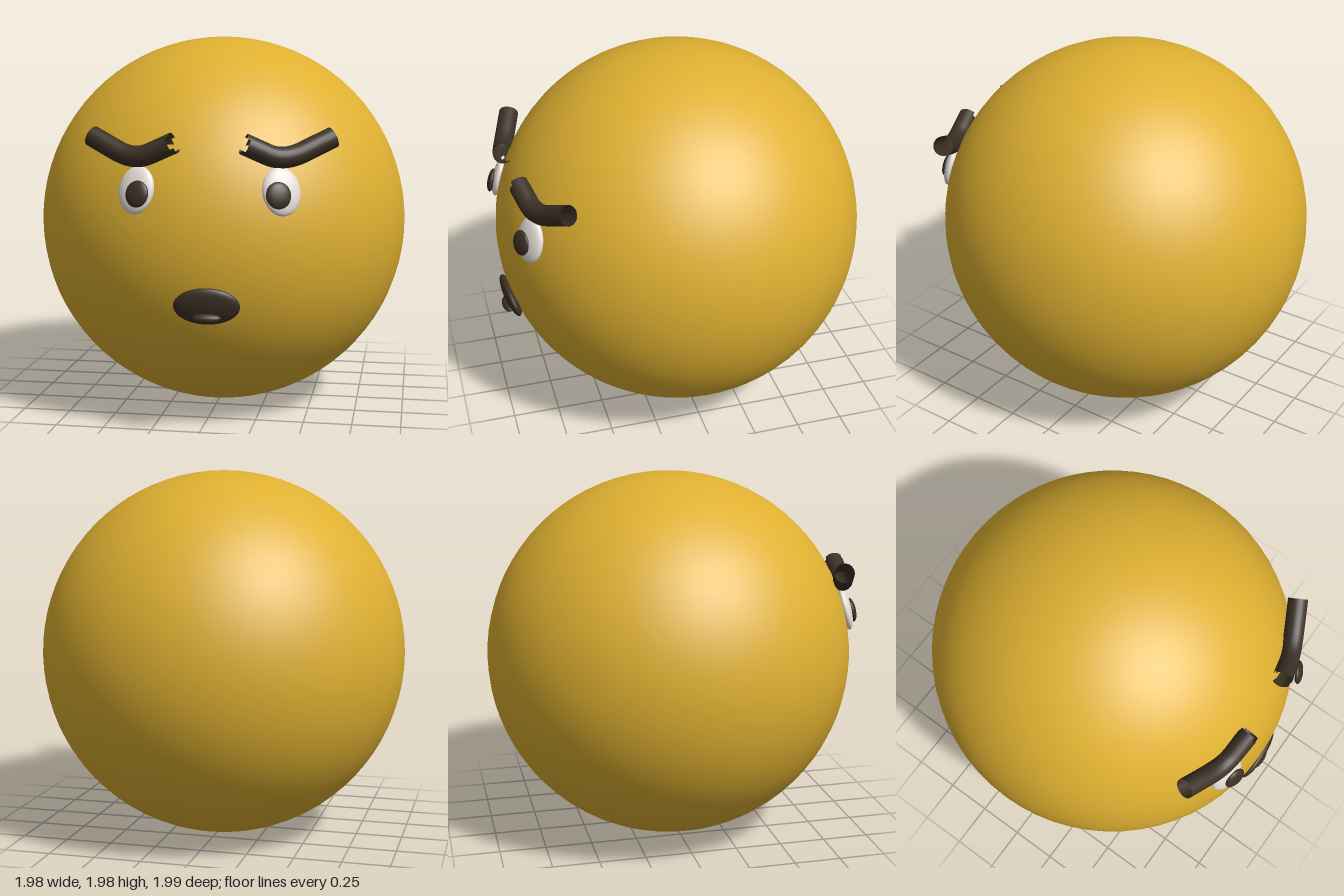
import * as THREE from 'three';

const CENTER = new THREE.Vector3(0, 0.99, -0.01);

export function createModel() {
  const group = new THREE.Group();
  const material = (name, color, side = THREE.FrontSide) => {
    const m = new THREE.MeshStandardMaterial({ color, side });
    m.name = name;
    return m;
  };
  const yellow = material('yellow skin', 0xdeb031);
  const white = material('eye white', 0xe6e0da);
  const dark = material('dark brown', 0x3b3025, THREE.DoubleSide);

  const add = (name, geometry, mat) => {
    const mesh = new THREE.Mesh(geometry, mat);
    mesh.name = name;
    group.add(mesh);
    return mesh;
  };

  // Flattened ball that faces straight out from the head
  const addBall = (name, mat, position, size, roll = 0) => {
    const mesh = add(name, new THREE.SphereGeometry(1, 32, 20), mat);
    mesh.position.set(...position);
    mesh.scale.set(...size);
    mesh.lookAt(mesh.position.clone().multiplyScalar(2).sub(CENTER));
    mesh.rotateZ(roll);
    return mesh;
  };

  // Head
  add('head', new THREE.SphereGeometry(0.99, 64, 40), yellow).position.copy(CENTER);

  // Eyes and pupils
  addBall('leftEye', white, [0.42, 1.245, 0.862], [0.095, 0.118, 0.035], 0.06);
  addBall('rightEye', white, [-0.275, 1.245, 0.912], [0.095, 0.118, 0.035], -0.06);
  addBall('leftPupil', dark, [0.412, 1.232, 0.908], [0.062, 0.065, 0.022]);
  addBall('rightPupil', dark, [-0.262, 1.232, 0.957], [0.06, 0.065, 0.022]);

  // Mouth with a small lower lip
  addBall('mouth', dark, [0.072, 0.694, 0.945], [0.162, 0.098, 0.035]);
  addBall('lowerLip', dark, [0.075, 0.642, 0.965], [0.07, 0.022, 0.03]);

  // Brows: open bent tubes, listed outer end, bend, inner end
  const addBrow = (name, outer, bend, inner) => {
    const [a, b, c] = [outer, bend, inner].map((p) => new THREE.Vector3(...p));
    const path = new THREE.CurvePath();
    const p = b.clone().lerp(a, 0.4);
    const q = b.clone().lerp(c, 0.4);
    path.add(new THREE.LineCurve3(a, p));
    path.add(new THREE.QuadraticBezierCurve3(p, b, q));
    path.add(new THREE.LineCurve3(q, c));
    const steps = 24;
    const sides = 20;
    const tube = new THREE.TubeGeometry(path, steps, 0.052, sides, false);

    // Notch through the front and back walls at the inner end
    const pos = tube.attributes.position;
    const index = tube.index.array;
    const kept = [];
    for (let i = 0; i < index.length; i += 6) {
      const quad = Array.from(index.slice(i, i + 6));
      const ring = Math.floor(i / 6 / sides);
      const y = quad.reduce((sum, v) => sum + pos.getY(v), 0) / 6;
      const axisY = path.getPointAt((ring + 0.5) / steps).y;
      if (ring >= steps - 1 && Math.abs(y - axisY) < 0.028) continue;
      kept.push(...quad);
    }
    tube.setIndex(kept);
    add(name, tube, dark);
  };
  addBrow('leftBrow', [0.65, 1.495, 0.705], [0.425, 1.385, 0.83], [0.24, 1.472, 0.88]);
  addBrow('rightBrow', [-0.52, 1.495, 0.805], [-0.29, 1.385, 0.885], [-0.09, 1.475, 0.905]);

  return group;
}
